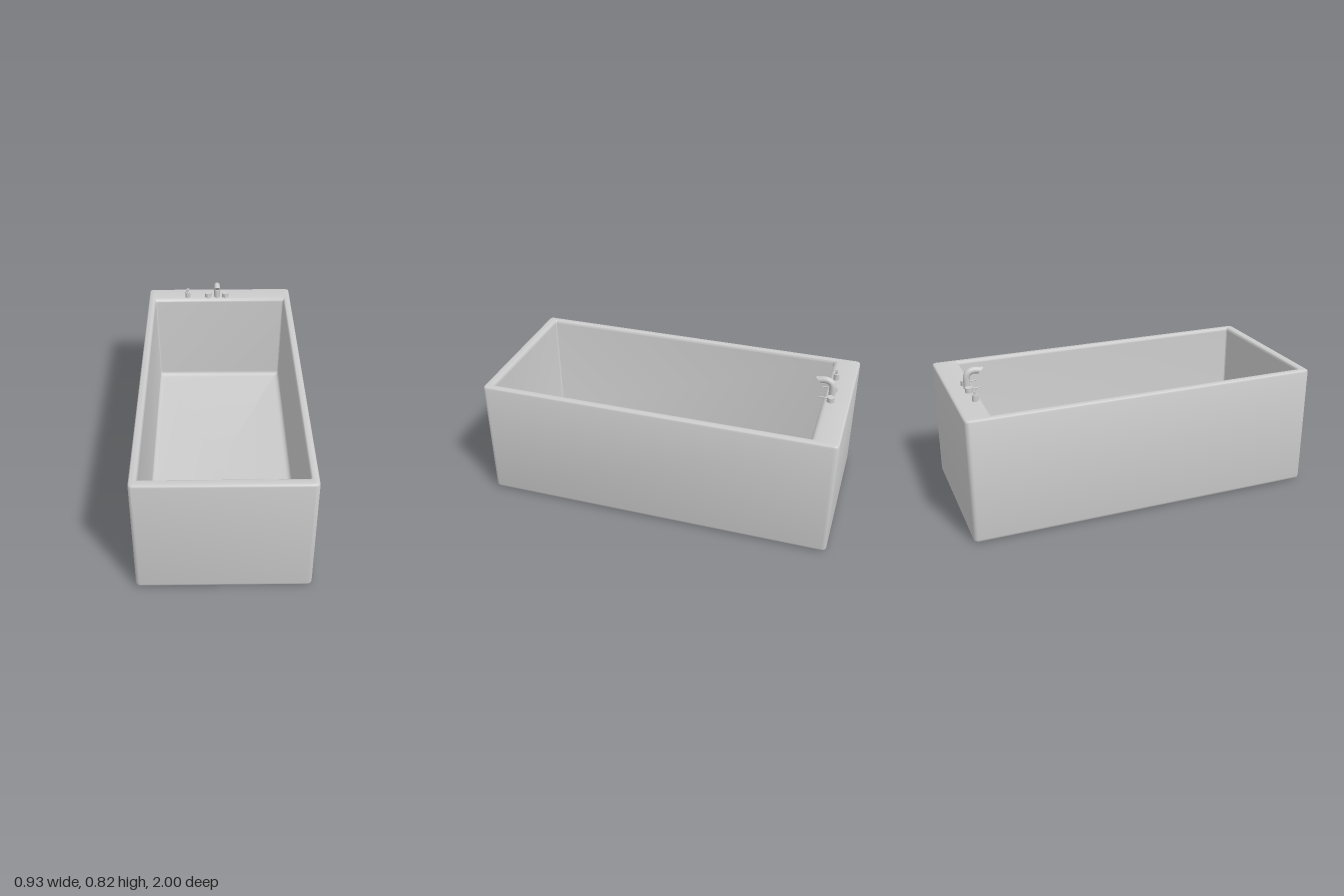
import * as THREE from 'three';
import { toCreasedNormals, mergeVertices } from 'three/addons/utils/BufferGeometryUtils.js';

const RIM = 0.705, HALF_W = 0.465, DECK_Z = -0.89;
const material = new THREE.MeshStandardMaterial({ color: 0xcccccc, side: THREE.DoubleSide });
const CORNER_STEPS = 5;

// Horizontal rounded rectangle used as one cross-section of the tub
function ring(halfX, zBack, zFront, r, y) {
  const pts = [];
  const corners = [[1, 1], [-1, 1], [-1, -1], [1, -1]];
  corners.forEach(([sx, sz], q) => {
    const cx = sx * (halfX - r);
    const cz = sz > 0 ? zFront - r : zBack + r;
    for (let i = 0; i <= CORNER_STEPS; i++) {
      const a = (q + i / CORNER_STEPS) * Math.PI / 2;
      pts.push([cx + r * Math.cos(a), y, cz + r * Math.sin(a)]);
    }
  });
  return pts;
}

// Skin a list of rings, closing the first and last with a fan
function skin(rings) {
  const n = rings[0].length, pos = rings.flat(2), index = [];
  rings.slice(1).forEach((_, k) => {
    for (let i = 0; i < n; i++) {
      const j = (i + 1) % n;
      const a = k * n + i, b = k * n + j, c = a + n, d = b + n;
      index.push(a, c, b, b, c, d);
    }
  });
  const cap = (k, flip) => {
    const centre = pos.length / 3, first = rings[k][0][1];
    pos.push(0, first, 0);
    for (let i = 0; i < n; i++) {
      const a = k * n + i, b = k * n + (i + 1) % n;
      if (flip) index.push(centre, a, b);
      else index.push(centre, b, a);
    }
  };
  cap(0, true);
  cap(rings.length - 1, false);
  const g = new THREE.BufferGeometry();
  g.setAttribute('position', new THREE.Float32BufferAttribute(pos, 3));
  g.setIndex(index);
  return toCreasedNormals(mergeVertices(g, 1e-5), 0.6);
}

function tubGeometry() {
  const rings = [], steps = [0, 1, 2, 3, 4].map(i => i / 4 * Math.PI / 2);
  const outer = (inset, y) => rings.push(ring(HALF_W - inset, -1 + inset, 1 - inset, 0.024 - inset * 0.8, y));
  // rounded bottom and top outer edges
  const rb = 0.022, rt = 0.014;
  steps.forEach(a => outer(rb * (1 - Math.sin(a)), rb * (1 - Math.cos(a))));
  steps.forEach(a => outer(rt * (1 - Math.cos(a)), RIM - rt * (1 - Math.sin(a))));
  // rolled inner lip
  steps.forEach(a => {
    const s = Math.sin(a), drop = 1 - Math.cos(a);
    rings.push(ring(0.432 - 0.012 * s, -0.878 + 0.028 * s, 0.957 - 0.012 * s, 0.01, RIM - 0.02 * drop));
  });
  // end wall leans back under the deck, then a fillet meets the floor
  const floor = 0.035, f = 0.03;
  steps.forEach(a => {
    const inset = f * (1 - Math.cos(a));
    rings.push(ring(0.42 - inset, -0.965 + inset, 0.945 - inset, 0.012, floor + f * (1 - Math.sin(a))));
  });
  return skin(rings);
}

function add(parent, name, geometry, x = 0, y = 0, z = 0) {
  const mesh = new THREE.Mesh(geometry, material);
  mesh.name = name;
  mesh.position.set(x, y, z);
  parent.add(mesh);
  return mesh;
}

// Curved spout with an outlet cut at a slant
function makeFaucet() {
  const group = new THREE.Group();
  group.name = 'faucet';
  const r = 0.0185, slant = 0.95, segs = 24, sides = 20;
  const path = new THREE.CatmullRomCurve3([
    [0.7, -0.892], [0.74, -0.892], [0.77, -0.891], [0.79, -0.882],
    [0.801, -0.865], [0.804, -0.845], [0.799, -0.817],
  ].map(([y, z]) => new THREE.Vector3(0, y, z)));
  const tube = new THREE.TubeGeometry(path, segs, r, sides);
  const p = tube.attributes.position, end = path.getPoint(1);
  const outlet = [];
  for (let i = segs * (sides + 1); i < p.count; i++) {
    p.setZ(i, p.getZ(i) + (p.getY(i) - end.y) * slant);
    outlet.push(new THREE.Vector3().fromBufferAttribute(p, i));
  }
  add(group, 'spout', tube);
  const fan = [];
  for (let i = 0; i < sides; i++) fan.push(end, outlet[i], outlet[i + 1]);
  const disc = new THREE.BufferGeometry().setFromPoints(fan);
  disc.computeVertexNormals();
  add(group, 'spoutOutlet', disc);
  group.position.x = -0.017;
  return group;
}

// Round tap knob with a thin lever pointing to the front
function makeTap(name, x) {
  const group = new THREE.Group();
  group.name = name;
  add(group, 'knob', new THREE.CylinderGeometry(0.0215, 0.0215, 0.033, 24), 0, RIM + 0.0105, 0);
  const lever = add(group, 'lever', new THREE.CylinderGeometry(0.0035, 0.0035, 0.06, 10), 0, 0.724, 0.033);
  lever.rotation.x = Math.PI / 2;
  group.position.set(x, 0, -0.894);
  return group;
}

// Small pump on the deck
function makePump() {
  const group = new THREE.Group();
  group.name = 'soapPump';
  const profile = [[0, 0.7], [0.0165, 0.7], [0.0165, 0.741], [0.0075, 0.742], [0.0075, 0.759], [0.0045, 0.76], [0.0045, 0.769], [0, 0.77]];
  const body = new THREE.LatheGeometry(profile.map(([x, y]) => new THREE.Vector2(x, y)), 20);
  add(group, 'pumpBody', toCreasedNormals(body, 0.6));
  const nozzle = add(group, 'pumpNozzle', new THREE.CylinderGeometry(0.003, 0.003, 0.016, 8), 0.004, 0.767, 0.004);
  nozzle.rotation.set(Math.PI / 2, 0, -Math.PI / 4);
  group.position.set(-0.21, 0, DECK_Z);
  return group;
}

export function createModel() {
  const model = new THREE.Group();
  model.name = 'bathtub';
  add(model, 'tub', tubGeometry());
  model.add(makeFaucet(), makeTap('rightTap', -0.076), makeTap('leftTap', 0.037), makePump());
  return model;
}
